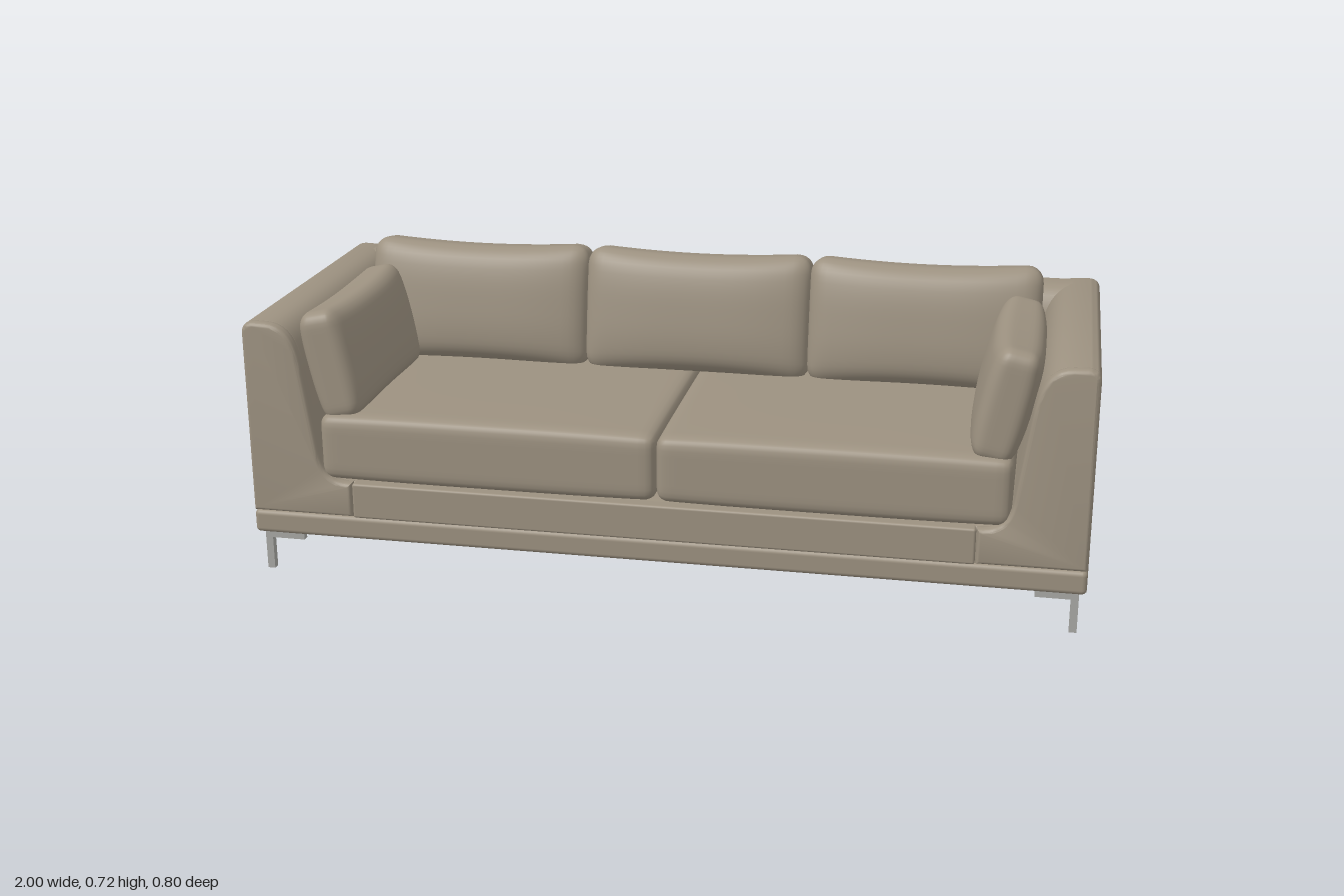
import * as THREE from 'three';
import { mergeVertices, toCreasedNormals } from 'three/addons/utils/BufferGeometryUtils.js';
import { RoundedBoxGeometry } from 'three/addons/geometries/RoundedBoxGeometry.js';

const fabric = new THREE.MeshStandardMaterial({ color: 0x9c9180 });
fabric.name = 'taupe fabric';
const metal = new THREE.MeshStandardMaterial({ color: 0xa8a8a4 });
metal.name = 'brushed metal';
const lining = new THREE.MeshStandardMaterial({ color: 0x111111 });
lining.name = 'black lining';

function add(parent, name, geometry, material, x = 0, y = 0, z = 0) {
  const mesh = new THREE.Mesh(geometry, material);
  mesh.name = name;
  mesh.position.set(x, y, z);
  parent.add(mesh);
  return mesh;
}

// Extrusion between z0 and z1 with rounded edges that stay inside the outline
function slab(points, z0, z1, round, thick = round) {
  const geo = new THREE.ExtrudeGeometry(new THREE.Shape(points), {
    depth: z1 - z0 - 2 * thick, bevelEnabled: true, bevelThickness: thick,
    bevelSize: round, bevelOffset: -round, bevelSegments: 4,
  });
  geo.translate(0, 0, z0 + thick);
  return toCreasedNormals(geo, 0.6);
}

// Upholstered cushion: a rounded box that thins toward its rim; thickness lies along z
function cushion(w, h, t, radius, thin, cornerLift = 0) {
  const geo = new THREE.BoxGeometry(2, 2, 2, 28, 24, 14);
  geo.deleteAttribute('normal');
  geo.deleteAttribute('uv');
  const pos = geo.attributes.position;
  const half = new THREE.Vector3(w / 2, h / 2, t / 2);
  const inner = half.clone().subScalar(radius);
  const p = new THREE.Vector3(), core = new THREE.Vector3();
  const bunch = (v) => Math.sin(v * Math.PI / 2); // more rows near the edges
  for (let i = 0; i < pos.count; i++) {
    p.fromBufferAttribute(pos, i);
    p.set(bunch(p.x), bunch(p.y), bunch(p.z)).multiply(half);
    core.copy(p).clamp(inner.clone().negate(), inner);
    p.sub(core).setLength(radius).add(core);
    const u = p.x / half.x, v = p.y / half.y;
    p.z *= (1 - thin * Math.abs(u) ** 3) * (1 - thin * Math.abs(v) ** 3);
    p.y += cornerLift * (u * u - 0.5) * v;
    pos.setXYZ(i, p.x, p.y, p.z);
  }
  const smooth = mergeVertices(geo, 1e-5);
  smooth.computeVertexNormals();
  return smooth;
}

// Arm outline from the outer bottom, over the rolled top, down to the seat deck
function armOutline(bottom) {
  const path = new THREE.Path();
  path.moveTo(1, bottom);
  path.lineTo(1, 0.61);
  path.quadraticCurveTo(1, 0.638, 0.97, 0.639);
  path.lineTo(0.94, 0.638);
  path.bezierCurveTo(0.885, 0.636, 0.865, 0.59, 0.855, 0.52);
  path.lineTo(0.826, 0.32);
  path.quadraticCurveTo(0.818, 0.25, 0.76, 0.247);
  return path.getPoints(10);
}
const mirrored = (points) => points.map((p) => new THREE.Vector2(-p.x, p.y)).reverse();

export function createModel() {
  const sofa = new THREE.Group();
  sofa.name = 'sofa';

  // Base and both arms as one U-shaped body
  const arm = armOutline(0.102);
  add(sofa, 'baseAndArms', slab([...arm, ...mirrored(arm)], -0.4, 0.378, 0.01), fabric);

  // Backrest with a rolled inner edge, run between the arms
  const back = new THREE.Path();
  back.moveTo(-0.397, 0.2);
  back.lineTo(-0.397, 0.62);
  back.quadraticCurveTo(-0.397, 0.636, -0.38, 0.637);
  back.lineTo(-0.34, 0.637);
  back.bezierCurveTo(-0.285, 0.635, -0.27, 0.59, -0.262, 0.52);
  back.lineTo(-0.235, 0.2);
  const backrest = new THREE.ExtrudeGeometry(new THREE.Shape(back.getPoints(10)), {
    depth: 1.94, bevelEnabled: false,
  });
  backrest.translate(0, 0, -0.97).rotateY(-Math.PI / 2);
  add(sofa, 'backrest', toCreasedNormals(backrest, 0.6), fabric);

  // Padded front: arm facings, centre rail and lower band
  const facing = [...armOutline(0.16), new THREE.Vector2(0.746, 0.247), new THREE.Vector2(0.746, 0.16)];
  add(sofa, 'leftArmFacing', slab(facing, 0.36, 0.398, 0.01, 0.016), fabric);
  add(sofa, 'rightArmFacing', slab(mirrored(facing), 0.36, 0.398, 0.01, 0.016), fabric);
  add(sofa, 'frontRail', new RoundedBoxGeometry(1.49, 0.088, 0.036, 4, 0.006), fabric, 0, 0.203, 0.378);
  add(sofa, 'lowerBand', new RoundedBoxGeometry(2, 0.058, 0.036, 4, 0.012), fabric, 0, 0.132, 0.378);

  // Two seat cushions
  const seat = cushion(0.822, 0.645, 0.176, 0.03, 0.04).rotateX(-Math.PI / 2);
  for (const s of [-1, 1]) add(sofa, 'seatCushion', seat, fabric, s * 0.411, 0.334, 0.0735);

  // Three leaning back cushions
  const backCushion = cushion(0.575, 0.31, 0.175, 0.045, 0.3, 0.014);
  for (const i of [-1, 0, 1]) {
    add(sofa, 'backCushion', backCushion, fabric, i * 0.572, 0.557, -0.172).rotation.x = -0.17;
  }

  // Side cushions leaning on the arms
  const sideCushion = cushion(0.49, 0.265, 0.135, 0.035, 0.22, 0.01).rotateY(Math.PI / 2);
  for (const s of [-1, 1]) {
    add(sofa, 'sideCushion', sideCushion, fabric, s * 0.795, 0.531, 0.135).rotation.z = -s * 0.22;
  }

  // Underside lining
  add(sofa, 'undersideLining', new THREE.BoxGeometry(1.96, 0.008, 0.75), lining, 0, 0.103, -0.012);

  // Corner legs: a post with two bracket arms under the base
  for (const sx of [-1, 1]) {
    for (const sz of [-1, 1]) {
      const leg = new THREE.Group();
      leg.name = (sz > 0 ? 'front' : 'back') + (sx > 0 ? 'Left' : 'Right') + 'Leg';
      leg.position.set(sx * 0.975, 0, sz > 0 ? 0.364 : -0.38);
      add(leg, 'post', new THREE.BoxGeometry(0.018, 0.1, 0.018), metal, 0, 0.05, 0);
      add(leg, 'sideBracket', new THREE.BoxGeometry(0.018, 0.018, 0.082), metal, 0, 0.091, -sz * 0.05);
      add(leg, 'crossBracket', new THREE.BoxGeometry(0.082, 0.018, 0.018), metal, -sx * 0.05, 0.091, 0);
      sofa.add(leg);
    }
  }
  return sofa;
}
